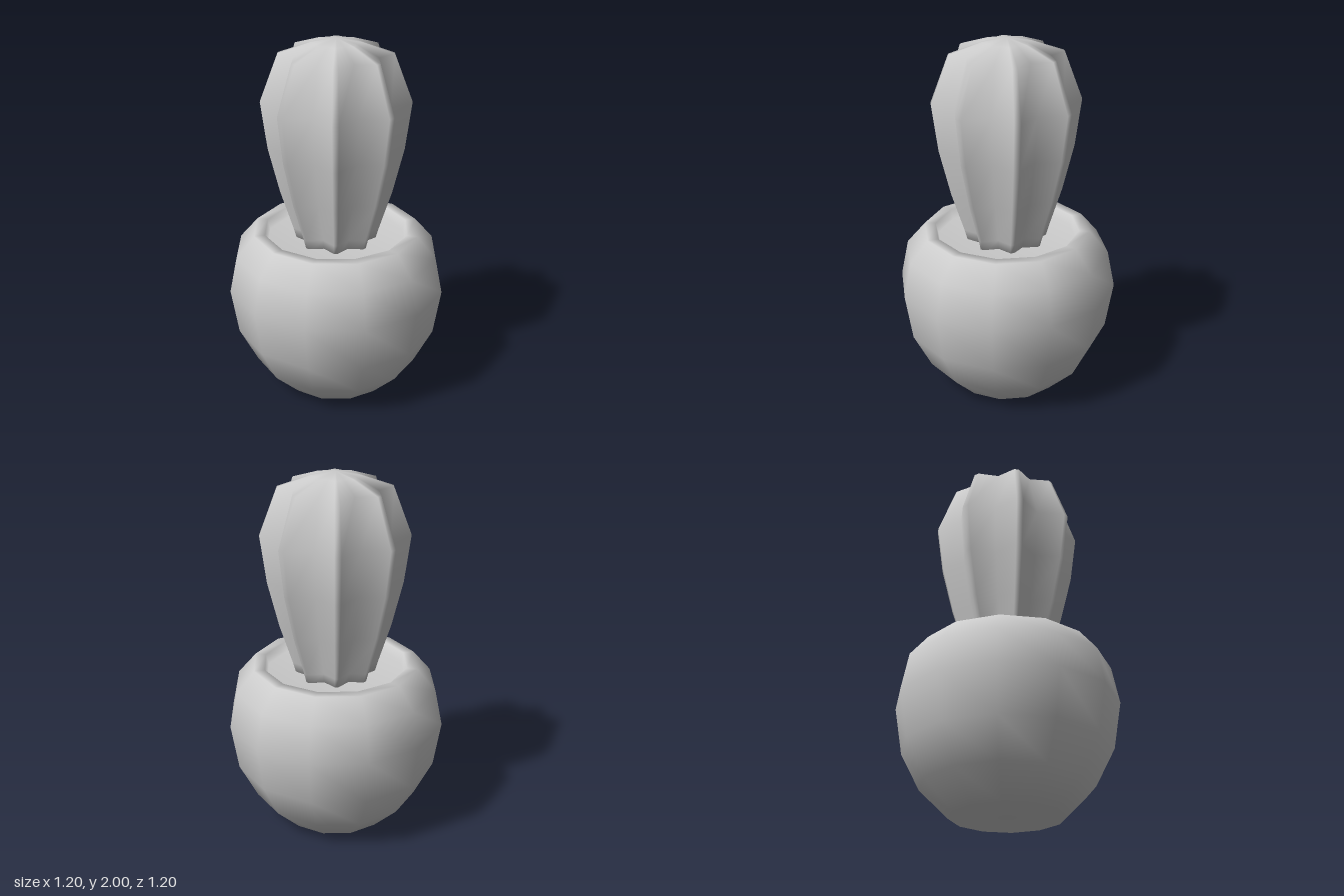
import * as THREE from 'three';

const RIBS = 8;
const TURN = THREE.MathUtils.degToRad(4.5);

// Ribbed body: star-shaped rings, each rib a valley point plus a narrow blunt tip.
function ribbedBody(profile) {
  const section = [];
  for (let k = 0; k < RIBS; k++) {
    const tip = TURN + (k * Math.PI * 2) / RIBS;
    section.push([tip - Math.PI / RIBS, false], [tip - 0.045, true], [tip + 0.045, true]);
  }
  const n = section.length;
  const positions = [];
  const index = [];
  for (const [r, y, valley] of profile) {
    for (const [angle, isTip] of section) {
      const d = isTip ? r : r * valley;
      positions.push(d * Math.cos(angle), y, d * Math.sin(angle));
    }
  }
  for (let i = 0; i < profile.length - 1; i++) {
    for (let j = 0; j < n; j++) {
      const a = i * n + j, c = i * n + ((j + 1) % n);
      index.push(a, a + n, c, c, a + n, c + n);
    }
  }
  // Crown point and base point
  const last = (profile.length - 1) * n;
  const crown = positions.length / 3;
  positions.push(0, 2, 0, 0, profile[0][1], 0);
  for (let j = 0; j < n; j++) {
    const next = (j + 1) % n;
    index.push(last + j, crown, last + next, j, next, crown + 1);
  }
  const geometry = new THREE.BufferGeometry();
  geometry.setAttribute('position', new THREE.Float32BufferAttribute(positions, 3));
  geometry.setIndex(index);
  geometry.computeVertexNormals();
  return geometry;
}

export function createModel() {
  const group = new THREE.Group();
  const material = new THREE.MeshStandardMaterial({ color: 0xcccccc });

  // Round twelve-sided pot with a flat rim and a shallow soil surface
  const potProfile = [
    [0, 0], [0.303, 0], [0.46, 0.155], [0.562, 0.355], [0.603, 0.61],
    [0.562, 0.81], [0.46, 0.93], [0.4, 0.93], [0.385, 0.875], [0, 0.875],
  ].map(([r, y]) => new THREE.Vector2(r, y));
  const pot = new THREE.Mesh(new THREE.LatheGeometry(potProfile, 12, -TURN), material);
  pot.name = 'pot';
  group.add(pot);

  // Ribbed cactus: tip radius, height, valley ratio
  const cactus = new THREE.Mesh(ribbedBody([
    [0.215, 0.86, 0.77],
    [0.235, 0.93, 0.77],
    [0.305, 1.15, 0.77],
    [0.366, 1.4, 0.77],
    [0.4, 1.66, 0.77],
    [0.302, 1.92, 0.78],
    [0.13, 1.978, 0.85],
  ]), material);
  cactus.name = 'cactus';
  group.add(cactus);

  return group;
}
